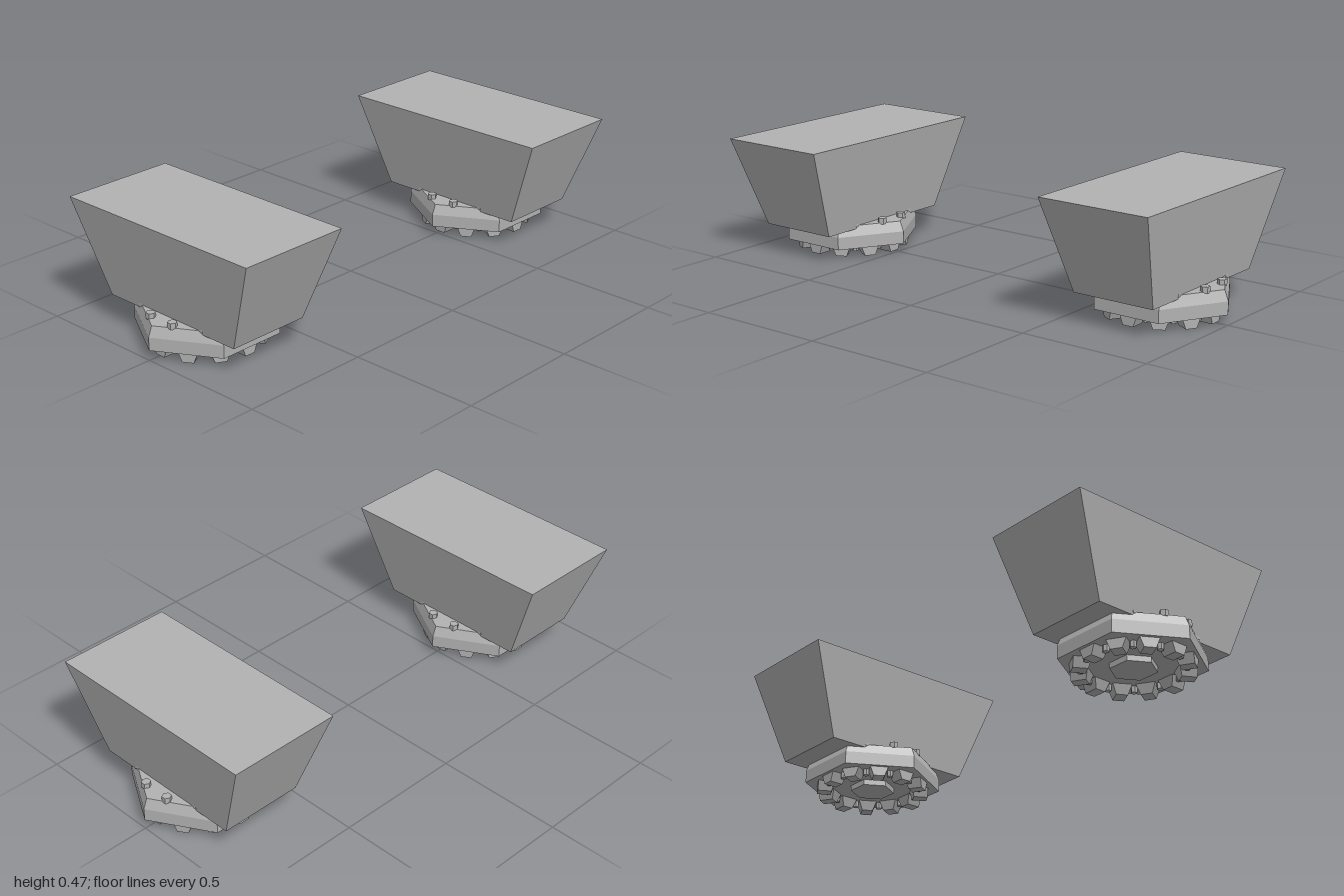
import * as THREE from 'three';

const grey = new THREE.MeshStandardMaterial({ color: 0xb2b2b2 });
grey.name = 'plain grey';

// Flat-faced mesh with a name
function part(name, geometry, parent) {
  const flat = geometry.index ? geometry.toNonIndexed() : geometry;
  flat.computeVertexNormals();
  const mesh = new THREE.Mesh(flat, grey);
  mesh.name = name;
  parent.add(mesh);
  return mesh;
}

// Box from y0 to y1 with separate bottom and top half sizes; the +z face may stay upright
function taperedBox(y0, y1, bottom, top, zBottom = 0, zTop = 0) {
  const g = new THREE.BoxGeometry(2, 1, 2);
  const p = g.attributes.position;
  for (let i = 0; i < p.count; i++) {
    const up = p.getY(i) > 0;
    const [hx, hz] = up ? top : bottom;
    p.setXYZ(i, p.getX(i) * hx, up ? y1 : y0, p.getZ(i) * hz + (up ? zTop : zBottom));
  }
  return g;
}

// Six-sided prism from y0 to y1, corners on the z axis
function hexPrism(y0, y1, rBottom, rTop) {
  return new THREE.CylinderGeometry(rTop, rBottom, y1 - y0, 6).translate(0, (y0 + y1) / 2, 0);
}

function createFoot() {
  const foot = new THREE.Group();

  // Flared block above the sole
  part('upperBlock', taperedBox(0.112, 0.465, [0.31, 0.162], [0.441, 0.22]), foot);

  // Hexagonal sole with a bevelled top edge
  const profile = [[0, 0.037], [0.265, 0.037], [0.265, 0.086], [0.249, 0.125], [0, 0.125]];
  part('sole', new THREE.LatheGeometry(profile.map(([r, y]) => new THREE.Vector2(r, y)), 6), foot);

  // Raised hexagon under the sole
  part('soleBoss', hexPrism(0.016, 0.04, 0.085, 0.085), foot);

  for (let i = 0; i < 12; i++) {
    // Tread teeth around the underside
    const tooth = part('treadTooth',
      taperedBox(0, 0.04, [0.021, 0.027], [0.036, 0.033], 0.19, 0.184), foot);
    tooth.rotation.y = i * Math.PI / 6;

    // Bolts on top of the sole, studs between the teeth
    const a = (i + 0.5) * Math.PI / 6;
    const bolt = part('topBolt', hexPrism(0.12, 0.143, 0.0175, 0.0175).rotateY(Math.PI / 6), foot);
    bolt.position.set(Math.sin(a) * 0.212, 0, Math.cos(a) * 0.212);
    const stud = part('bottomStud', hexPrism(0.014, 0.04, 0.012, 0.012).rotateY(Math.PI / 6), foot);
    stud.position.set(Math.sin(a) * 0.18, 0, Math.cos(a) * 0.18);
  }
  return foot;
}

export function createModel() {
  const model = new THREE.Group();
  model.name = 'pairOfFeet';
  for (const [name, z] of [['frontFoot', 0.735], ['backFoot', -0.735]]) {
    const foot = createFoot();
    foot.name = name;
    foot.position.z = z;
    model.add(foot);
  }
  return model;
}
